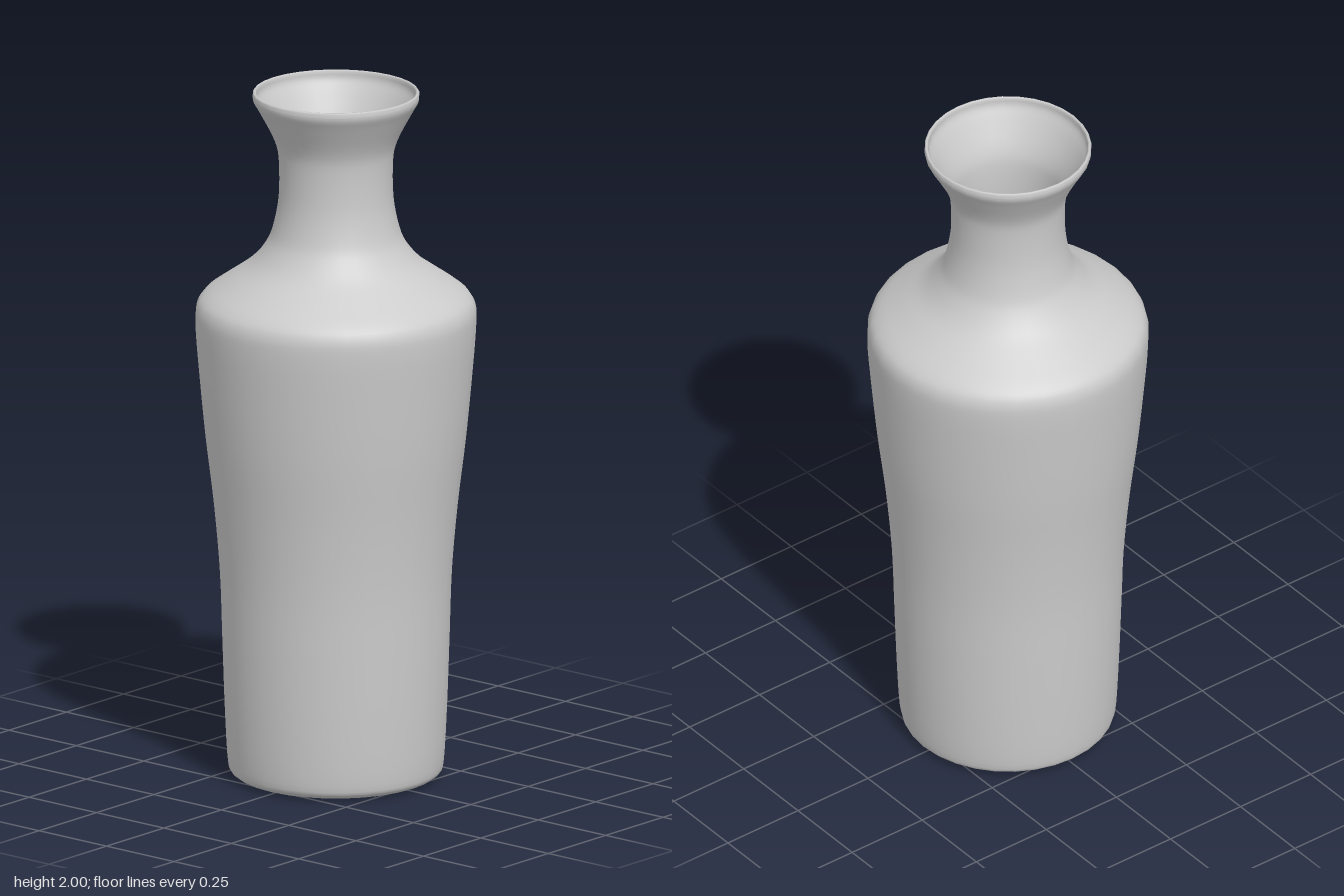
import * as THREE from 'three';

const SEGMENTS = 32;
const WALL = 0.01;

const v = ([r, y]) => new THREE.Vector2(r, y);

// Smooth silhouette from the foot edge up to the flared mouth
const silhouette = new THREE.SplineCurve([
  [0.262, 0], [0.292, 0.012], [0.306, 0.045], [0.315, 0.2], [0.322, 0.4], [0.329, 0.6],
  [0.346, 0.8], [0.37, 1.0], [0.389, 1.2], [0.398, 1.32], [0.394, 1.375], [0.37, 1.41],
  [0.31, 1.453], [0.245, 1.5], [0.203, 1.55], [0.18, 1.6], [0.163, 1.69], [0.162, 1.8],
  [0.174, 1.86], [0.212, 1.935], [0.232, 1.97], [0.236, 1.985],
].map(v));

export function createModel() {
  const group = new THREE.Group();
  group.name = 'vase';
  const material = new THREE.MeshStandardMaterial({ color: 0xcccccc });

  const addLathe = (name, points) => {
    const mesh = new THREE.Mesh(new THREE.LatheGeometry(points, SEGMENTS), material);
    mesh.name = name;
    group.add(mesh);
  };

  const outer = silhouette.getPoints(84);
  outer.forEach((p) => { p.y = Math.max(0, p.y); });

  // Outer wall and closed underside
  addLathe('outerBody', [v([0, 0]), v([0.13, 0]), ...outer]);

  // Thin rounded lip joining outer and inner walls
  addLathe('rim', [[0.236, 1.985], [0.236, 1.996], [0.233, 2], [0.229, 2], [0.226, 1.996], [0.226, 1.985]].map(v));

  // Inner wall, from the mouth down to the flat floor
  const inner = outer
    .filter((p) => p.y > 0.03)
    .map((p) => v([p.x - WALL, p.y]))
    .reverse();
  addLathe('innerWall', [...inner, v([0.28, 0.02]), v([0.25, WALL])]);
  addLathe('innerFloor', [v([0.25, WALL]), v([0, WALL])]);

  return group;
}
